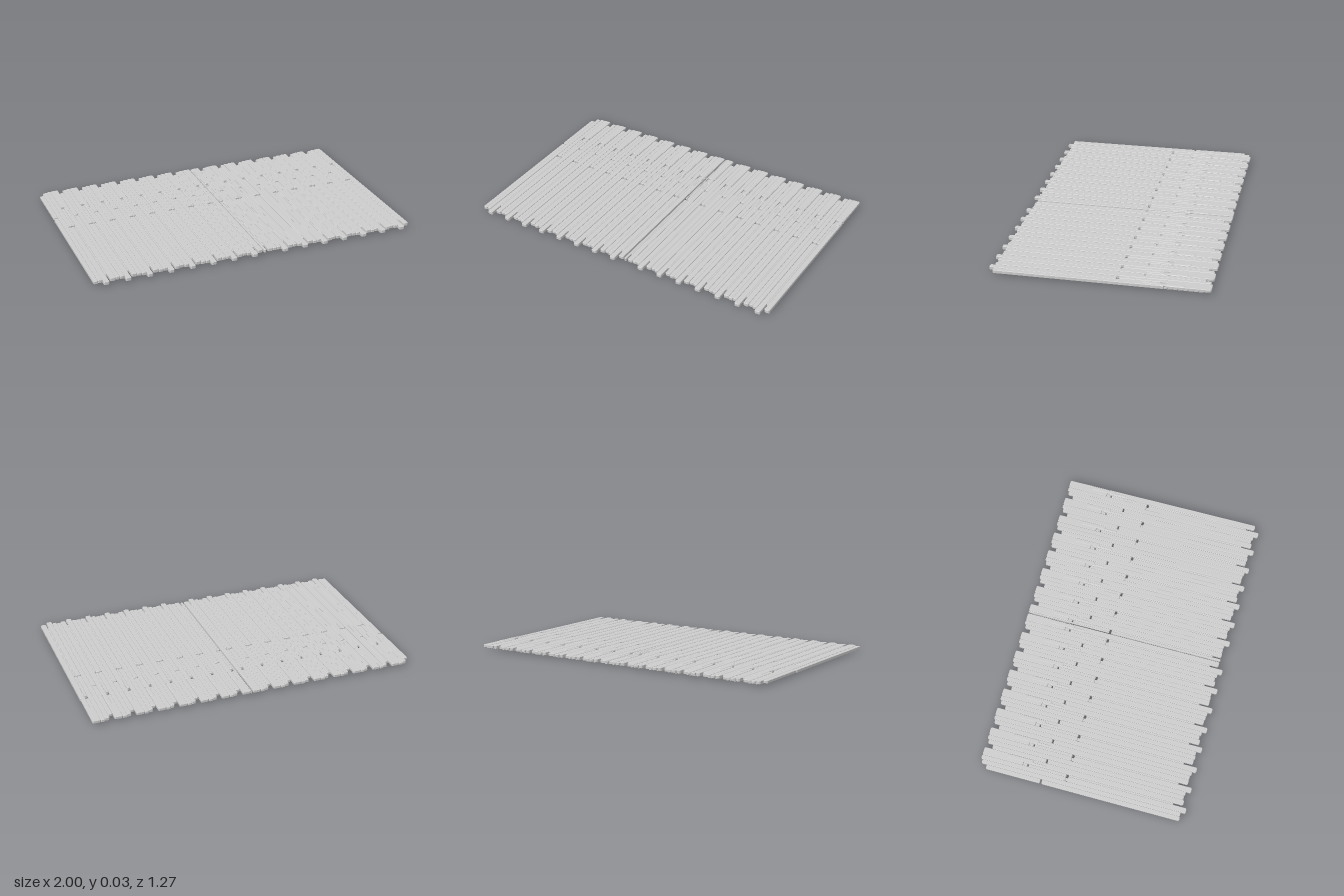
import * as THREE from 'three';

const PITCH = 0.129;   // width of one repeating group of planks
const BEVEL = 0.002;

// One group of planks: [name, x0, x1, z0, z1, bottom, top]
const PLANKS = [
  ['edgePlankBack', 0, 0.027, -0.595, -0.256, 0.01, 0.026],
  ['edgePlank', 0, 0.027, -0.246, 0.605, 0.007, 0.025],
  ['longPlank', 0.027, 0.053, -0.63, 0.608, 0.008, 0.027],
  ['tonguePlankBack', 0.053, 0.08, -0.64, -0.113, 0.01, 0.026],
  ['tabPlank', 0.053, 0.086, -0.1, 0.635, 0.004, 0.024],
  ['widePlankBack', 0.08, 0.128, -0.64, -0.385, 0.011, 0.028],
  ['shortPlank', 0.08, 0.097, -0.35, -0.113, 0.009, 0.025],
  ['notchPlank', 0.086, 0.097, -0.1, 0.55, 0.008, 0.026],
  ['sidePlank', 0.097, 0.129, -0.378, 0.606, 0.007, 0.027],
  // raised laps around the staggered joints
  ['backLap', 0.102, 0.125, -0.49, -0.33, 0.02, 0.03],
  ['frontLap', 0.102, 0.112, -0.34, -0.25, 0.02, 0.029],
  // ridges on the underside
  ['tongueRunner', 0.034, 0.12, -0.62, -0.36, 0.003, 0.014],
  ['underRidge', 0.032, 0.046, -0.15, 0.53, 0.003, 0.012],
  ['underRidge', 0.06, 0.078, -0.15, 0.61, 0, 0.01],
  ['underRidge', 0.105, 0.121, -0.15, 0.53, 0.003, 0.012],
];

// Plank with clipped corners and softly bevelled edges
function plankGeometry(x0, x1, z0, z1, y0, y1) {
  const cx = Math.min(0.006, (x1 - x0) * 0.2);
  const cz = x1 - x0 > 0.06 ? 0.02 : 0.005;
  const shape = new THREE.Shape([
    [x0 + cx, z0], [x1 - cx, z0], [x1, z0 + cz], [x1, z1 - cz],
    [x1 - cx, z1], [x0 + cx, z1], [x0, z1 - cz], [x0, z0 + cz],
  ].map(([x, z]) => new THREE.Vector2(x, z)));
  const geometry = new THREE.ExtrudeGeometry(shape, {
    depth: y1 - y0 - 2 * BEVEL,
    bevelEnabled: true,
    bevelThickness: BEVEL,
    bevelSize: BEVEL,
    bevelOffset: -BEVEL,
    bevelSegments: 1,
  });
  geometry.rotateX(Math.PI / 2);
  geometry.translate(0, y1 - BEVEL, 0);
  return geometry;
}

// Group of planks; minX trims the left part away for the half-width group
function plankGroup(material, x, index, minX = 0) {
  const group = new THREE.Group();
  group.name = 'plankGroup';
  group.position.x = x;
  PLANKS.forEach(([name, x0, x1, z0, z1, y0, y1], i) => {
    const left = Math.max(x0, minX);
    if (x1 - left < 0.007) return;
    // slight wear: long front ends are not perfectly aligned
    const wear = z1 > 0.6 && z1 < 0.62 ? 0.004 * Math.sin(index * 2.3 + i * 1.7) : 0;
    const front = minX > 0 ? Math.min(z1, 0.605) : z1 + wear;
    const mesh = new THREE.Mesh(plankGeometry(left, x1, z0, front, y0, y1), material);
    mesh.name = name;
    group.add(mesh);
  });
  return group;
}

export function createModel() {
  const model = new THREE.Group();
  model.name = 'plankFloor';
  const material = new THREE.MeshStandardMaterial({ color: 0xcccccc, flatShading: true });

  // left section: eight full groups
  const sectionA = new THREE.Group();
  sectionA.name = 'rightFloorSection';
  for (let i = 0; i < 8; i++) sectionA.add(plankGroup(material, -1 + i * PITCH, i));

  // left section of the floor: a trimmed group, then seven full groups
  const sectionB = new THREE.Group();
  sectionB.name = 'leftFloorSection';
  const start = 1 - 7 * PITCH;
  sectionB.add(plankGroup(material, start - PITCH, 8, 0.072));
  for (let i = 0; i < 7; i++) sectionB.add(plankGroup(material, start + i * PITCH, 9 + i));

  model.add(sectionA, sectionB);
  return model;
}
